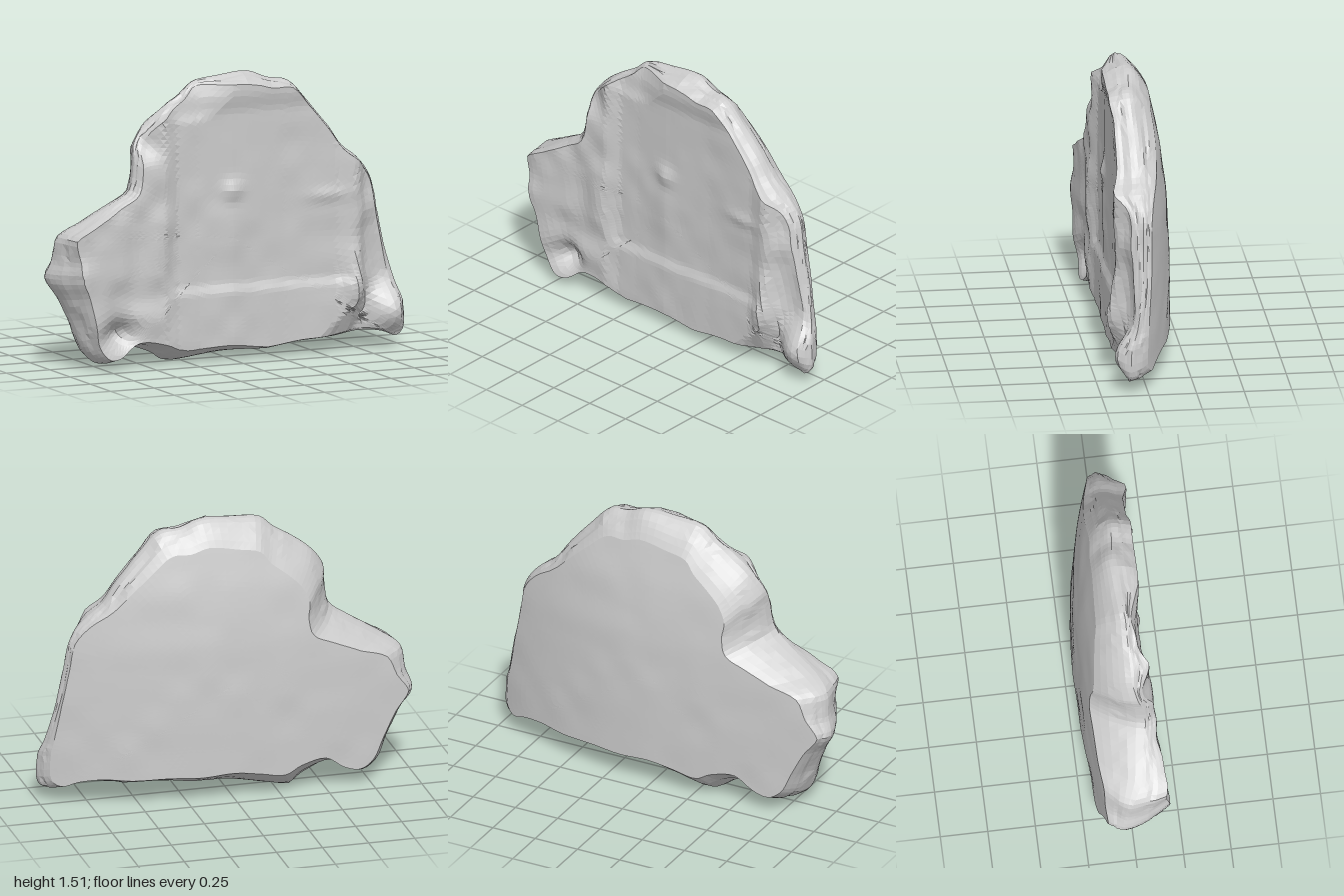
import * as THREE from 'three';

const { smoothstep, lerp, clamp } = THREE.MathUtils;
const CENTRE = [0, 0.65];

// Silhouette of the slab, counter-clockwise seen from the front
const OUTLINE = [
  [0.99, 0.25], [0.96, 0.35], [0.91, 0.55], [0.87, 0.75], [0.84, 0.9], [0.77, 1.0], [0.66, 1.09],
  [0.58, 1.2], [0.46, 1.34], [0.35, 1.45], [0.24, 1.47], [0.13, 1.51], [-0.05, 1.5], [-0.2, 1.48],
  [-0.27, 1.42], [-0.38, 1.35], [-0.48, 1.27], [-0.55, 1.17], [-0.56, 1.08], [-0.59, 0.94],
  [-0.7, 0.86], [-0.85, 0.77], [-0.95, 0.7], [-0.97, 0.58], [-1, 0.48], [-0.94, 0.37],
  [-0.88, 0.22], [-0.83, 0.09], [-0.76, 0.03], [-0.68, 0.04], [-0.58, 0.1], [-0.43, 0.06],
  [-0.33, 0.005], [-0.18, 0.02], [0, 0.045], [0.2, 0.045], [0.4, 0.07], [0.6, 0.08],
  [0.75, 0.1], [0.87, 0.09], [0.95, 0.065], [0.99, 0.1],
];

// Broken edge: outline index, depth of the rim, inset of the front edge, inset of the back edge
const EDGE = [
  [0, 0.09, 0.05, 0.05], [2, 0.02, 0.03, 0.02], [4, 0.01, 0.03, 0.02], [6, 0.01, 0.03, 0.04],
  [9, 0.03, 0.03, 0.11], [11, 0.01, 0.06, 0.13], [13, 0.04, 0.02, 0.15], [16, 0.04, 0.03, 0.17],
  [18, 0.09, 0.04, 0.19], [19, 0.1, 0.04, 0.17], [21, 0.05, 0.04, 0.16], [22, -0.01, 0.03, 0.11],
  [24, -0.06, 0.11, 0.04], [26, 0.02, 0.07, 0.07], [29, 0.08, 0.03, 0.11], [32, -0.04, 0.08, 0.12],
  [35, 0.08, 0.015, 0.1], [38, 0.06, 0.02, 0.08], [40, 0.1, 0.04, 0.07], [42, 0.09, 0.05, 0.05],
];

// Front relief across x: left wing, rim, sunken panel, right ridge, sloping border
const RELIEF = [
  [-1, 0.165], [-0.87, 0.185], [-0.6, 0.155], [-0.4, 0.152], [-0.32, 0.115], [-0.2, 0.11], [0, 0.118],
  [0.3, 0.112], [0.6, 0.123], [0.69, 0.15], [0.72, 0.145], [0.77, 0.095], [0.85, 0.06], [1, 0.05],
];

// Linear lookup of one column in a table sorted by its first column
function lookup(table, v, col = 1) {
  let i = 1;
  while (i < table.length - 1 && table[i][0] < v) i++;
  const a = table[i - 1], b = table[i];
  return lerp(a[col], b[col], clamp((v - a[0]) / (b[0] - a[0]), 0, 1));
}

// Smooth value noise in the range -1..1
function hash(i, j) {
  const s = Math.sin(i * 127.1 + j * 311.7) * 43758.5453;
  return (s - Math.floor(s)) * 2 - 1;
}
function noise(x, y) {
  const i = Math.floor(x), j = Math.floor(y), u = smoothstep(x - i, 0, 1), v = smoothstep(y - j, 0, 1);
  return lerp(lerp(hash(i, j), hash(i + 1, j), u), lerp(hash(i, j + 1), hash(i + 1, j + 1), u), v);
}

const blob = (x, y, cx, cy, rx, ry) => Math.exp(-(((x - cx) / rx) ** 2) - ((y - cy) / ry) ** 2);

function frontZ(x, y) {
  let z = lookup(RELIEF, x);
  // raised band below the sunken panel, and the panel's upper lip
  const inPanel = smoothstep(x, -0.4, -0.3) * (1 - smoothstep(x, 0.66, 0.72));
  z += 0.018 * inPanel * (1 - smoothstep(y, 0.35, 0.42));
  z += 0.02 * inPanel * smoothstep(y, 1.3, 1.42);
  // worn boss, its trailing ridge and a small ledge
  z += 0.022 * blob(x, y, 0, 0.9, 0.06, 0.05) + 0.01 * blob(x, y, 0, 0.66, 0.08, 0.2);
  z += 0.012 * blob(x, y, 0.54, 0.84, 0.1, 0.035);
  // bevel that cuts off the panel's lower right corner, with its raised tip
  z += 0.03 * blob(x, y, 0.71, 0.36, 0.06, 0.12);
  const past = 0.73 * (x - 0.5) - 0.68 * (y - 0.07);
  z -= 0.7 * clamp(past, 0, 0.12) * (1 - smoothstep(x, 0.7, 0.86));
  // corner knob and the hollow above the other foot
  z += 0.11 * blob(x, y, 0.92, 0.2, 0.12, 0.13);
  z -= 0.08 * blob(x, y, -0.66, 0.18, 0.09, 0.07);
  // curved chip at the top and the broken shoulder on the side
  z -= 0.35 * Math.max(0, 0.27 - Math.hypot(x + 0.25, y - 1.54));
  z -= 0.07 * (1 - smoothstep(x, -0.52, -0.36)) * smoothstep(y, 1.05, 1.22);
  // chipped texture, rougher outside the panel
  return z + (0.004 + 0.009 * (1 - inPanel)) * noise(x * 9, y * 8);
}

// Gently domed back that turns forward towards the thin side
function backZ(x, y) {
  const across = x > 0 ? 0.21 * x * x + 0.03 * x ** 6 : 0.07 * x * x;
  return -0.21 + across + 0.035 * Math.max(y, 0) ** 3.5 + 0.003 * noise(x * 7 + 40, y * 7);
}

function slabGeometry() {
  const n = OUTLINE.length * 4, faceRings = 26, edgeRings = 6;
  const curve = new THREE.CatmullRomCurve3(
    OUTLINE.map(([x, y]) => new THREE.Vector3(x, y, 0)), true, 'centripetal');
  const columns = [];
  for (let j = 0; j < n; j++) {
    const p = curve.getPoint(j / n);
    const [rimZ, frontInset, backInset] = [1, 2, 3].map((c) => lookup(EDGE, j / 4, c));
    const dx = p.x - CENTRE[0], dy = p.y - CENTRE[1], r = Math.hypot(dx, dy);
    const at = (inset, s = 1) => {
      const k = s * (1 - inset / r);
      return [CENTRE[0] + dx * k, CENTRE[1] + dy * k];
    };
    const column = [];
    const face = (inset, zAt, s) => {
      const [x, y] = at(inset, s);
      column.push(new THREE.Vector3(x, y, zAt(x, y)));
    };
    // rolled, slightly chipped edge between a face and the rim
    const edge = (inset, zAt, t, seed) => {
      const chip = 0.014 * Math.sin(t * Math.PI) * Math.abs(noise(j * 0.3, t * 4 + seed));
      const [x, y] = at(inset * (1 - t) ** 1.8 + chip);
      column.push(new THREE.Vector3(x, y, lerp(zAt(...at(inset)), rimZ, t)));
    };
    for (let i = 0; i <= faceRings; i++) face(frontInset, frontZ, i / faceRings);
    for (let i = 1; i <= edgeRings; i++) edge(frontInset, frontZ, i / edgeRings, 0);
    for (let i = edgeRings - 1; i > 0; i--) edge(backInset, backZ, i / edgeRings, 20);
    for (let i = faceRings; i >= 0; i--) face(backInset, backZ, i / faceRings);
    columns.push(column);
  }

  // join neighbouring columns, splitting each quad along its shorter diagonal
  const rows = columns[0].length, points = columns.flat(), index = [];
  for (let j = 0; j < n; j++) {
    for (let i = 0; i < rows - 1; i++) {
      const a = j * rows + i, b = a + 1, d = ((j + 1) % n) * rows + i, c = d + 1;
      if (i === 0) index.push(a, b, c);
      else if (i === rows - 2) index.push(a, b, d);
      else if (points[a].distanceTo(points[c]) < points[b].distanceTo(points[d])) index.push(a, b, c, a, c, d);
      else index.push(a, b, d, b, c, d);
    }
  }
  const geometry = new THREE.BufferGeometry().setFromPoints(points);
  geometry.setIndex(index);
  geometry.computeVertexNormals();
  return geometry;
}

export function createModel() {
  const group = new THREE.Group();
  group.name = 'stoneFragment';
  const stone = new THREE.MeshStandardMaterial({ color: 0xcccccc, flatShading: true });
  const slab = new THREE.Mesh(slabGeometry(), stone);
  slab.name = 'carvedSlab';
  group.add(slab);
  return group;
}
